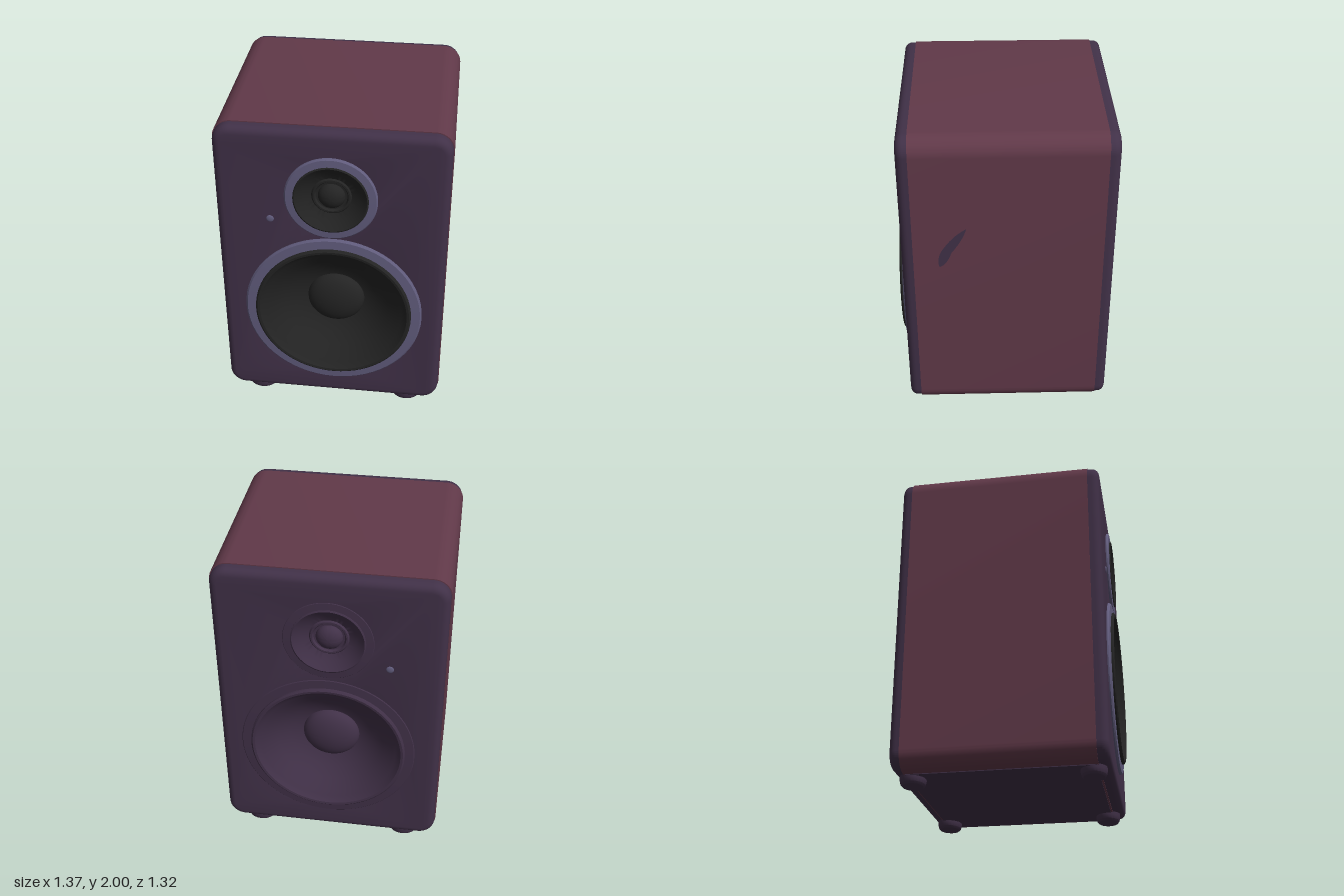
import * as THREE from 'three';
import { toCreasedNormals } from 'three/addons/utils/BufferGeometryUtils.js';

const mat = (name, color) => {
  const m = new THREE.MeshStandardMaterial({ color });
  m.name = name;
  return m;
};

export function createModel() {
  const model = new THREE.Group();
  model.name = 'loudspeaker';
  const plum = mat('plum shell', 0x613949);
  const purple = mat('dark purple', 0x413148);
  const lavender = mat('lavender trim', 0x625d7e);
  const black = mat('black cone', 0x242424);

  const add = (parent, name, geometry, material, x = 0, y = 0, z = 0) => {
    const mesh = new THREE.Mesh(geometry, material);
    mesh.name = name;
    mesh.position.set(x, y, z);
    parent.add(mesh);
    return mesh;
  };

  // Rounded rectangle, inset from the cabinet outline
  const outline = (Type, inset) => {
    const w = 0.685 - inset, b = 0.048 + inset, t = 2 - inset, r = 0.11 - inset;
    const s = new Type();
    s.moveTo(w, b + r);
    s.lineTo(w, t - r);
    s.absarc(w - r, t - r, r, 0, Math.PI / 2);
    s.absarc(-w + r, t - r, r, Math.PI / 2, Math.PI);
    s.absarc(-w + r, b + r, r, Math.PI, Math.PI * 1.5);
    s.absarc(w - r, b + r, r, Math.PI * 1.5, Math.PI * 2);
    return s;
  };

  // Wrap-around shell, open at both ends
  const shell = outline(THREE.Shape, 0);
  shell.holes.push(outline(THREE.Path, 0.03));
  const shellGeo = new THREE.ExtrudeGeometry(shell, { depth: 1.12, bevelEnabled: false, curveSegments: 10 });
  add(model, 'cabinetShell', toCreasedNormals(shellGeo, 0.6), plum, 0, 0, -0.57);
  add(model, 'bottomPanel', new THREE.BoxGeometry(1.14, 0.006, 1.1), purple, 0, 0.046, -0.01);

  // Profiles run from the outer edge to the centre, height facing outwards
  const turned = (points) => {
    const g = new THREE.LatheGeometry(points.map(([r, h]) => new THREE.Vector2(r, h)), 64);
    return toCreasedNormals(g.rotateX(Math.PI / 2), 0.6);
  };
  const dome = (radius, base, height) => {
    const pts = [];
    for (let i = 0; i <= 8; i++) {
      const a = (i / 8) * Math.PI / 2;
      pts.push([i === 8 ? 0 : radius * Math.cos(a), base + height * Math.sin(a)]);
    }
    return turned(pts);
  };

  const WOOFER = { x: 0.01, y: 0.74 }, TWEETER = { x: 0, y: 1.565 };

  // One end of the cabinet: baffle, two drivers and an indicator light
  const buildFace = (name, side, faceZ, driverZ, trim, cone) => {
    const face = new THREE.Group();
    face.name = name;
    if (side < 0) face.rotation.y = Math.PI;
    model.add(face);

    const panel = outline(THREE.Shape, 0.006);
    for (const [c, r] of [[WOOFER, 0.46], [TWEETER, 0.2]]) {
      const hole = new THREE.Path();
      hole.absarc(c.x * side, c.y, r, 0, Math.PI * 2, true);
      panel.holes.push(hole);
    }
    const bevel = 0.045;
    const panelGeo = new THREE.ExtrudeGeometry(panel, {
      depth: 0.1, bevelThickness: bevel, bevelSize: bevel, bevelOffset: -bevel,
      bevelSegments: 5, curveSegments: 24,
    });
    add(face, name + 'Baffle', toCreasedNormals(panelGeo, 0.6), purple, 0, 0, faceZ - 0.1 - bevel);

    const woofer = new THREE.Group();
    woofer.name = name + 'Woofer';
    woofer.position.set(WOOFER.x * side, WOOFER.y, driverZ);
    face.add(woofer);
    add(woofer, 'wooferRing', turned([[0.545, -0.02], [0.545, 0.008], [0.535, 0.017], [0.478, 0.02]]), trim);
    add(woofer, 'wooferCone', turned([
      [0.482, 0], [0.48, 0.03], [0.47, 0.038], [0.455, 0.036], [0.44, 0.022], [0.42, 0.008],
      [0.4, -0.004], [0.33, -0.06], [0.26, -0.106], [0.19, -0.14], [0.17, -0.145],
    ]), cone);
    add(woofer, 'wooferDome', dome(0.177, -0.143, 0.075), cone);

    const tweeter = new THREE.Group();
    tweeter.name = name + 'Tweeter';
    tweeter.position.set(TWEETER.x * side, TWEETER.y, driverZ);
    face.add(tweeter);
    add(tweeter, 'tweeterRing', turned([[0.272, -0.02], [0.272, 0.008], [0.264, 0.016], [0.218, 0.019]]), trim);
    add(tweeter, 'tweeterPlate', turned([
      [0.222, 0], [0.22, 0.022], [0.212, 0.026], [0.2, 0.018], [0.16, -0.012], [0.118, -0.03],
      [0.11, -0.022], [0.1, -0.022], [0.092, -0.034], [0.07, -0.036],
    ]), cone);
    add(tweeter, 'tweeterDome', dome(0.08, -0.036, 0.05), cone);

    const light = add(face, name + 'Light', new THREE.SphereGeometry(0.023, 16, 10), lavender, -0.36 * side, 1.4, faceZ);
    light.scale.z = 0.3;
  };
  buildFace('front', 1, 0.62, 0.62, lavender, black);
  buildFace('back', -1, 0.636, 0.623, purple, purple);

  // Rounded feet
  const footGeo = toCreasedNormals(new THREE.LatheGeometry([
    [0, 0], [0.075, 0], [0.088, 0.012], [0.094, 0.035], [0.094, 0.07],
  ].map(([r, h]) => new THREE.Vector2(r, h)), 24), 0.6);
  for (const x of [-0.475, 0.475]) {
    for (const z of [0.515, -0.535]) {
      add(model, 'foot', footGeo, purple, x, 0, z).scale.z = 0.82;
    }
  }

  // Painted streak on the left side
  const streak = new THREE.Shape();
  streak.moveTo(-0.235, 1.42);
  streak.quadraticCurveTo(-0.32, 1.37, -0.385, 1.26);
  streak.quadraticCurveTo(-0.415, 1.19, -0.395, 1.15);
  streak.quadraticCurveTo(-0.35, 1.17, -0.325, 1.25);
  streak.quadraticCurveTo(-0.25, 1.35, -0.235, 1.42);
  const streakGeo = new THREE.ShapeGeometry(streak, 8).rotateY(Math.PI / 2);
  add(model, 'sideStreak', streakGeo, purple, 0.688, 0, 0);

  return model;
}
